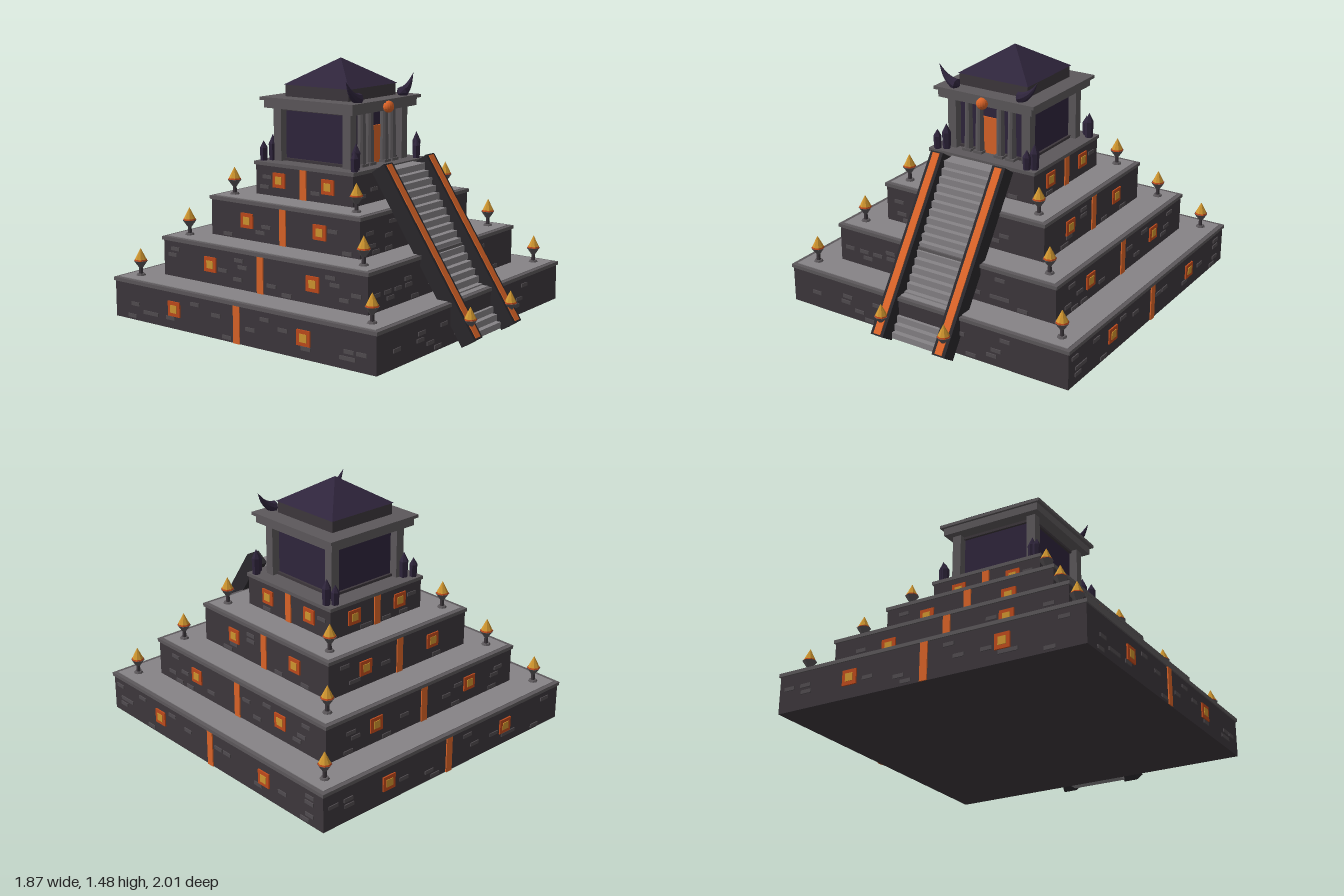
import * as THREE from 'three';

const mat = (name, color, flat = true) => {
  const m = new THREE.MeshStandardMaterial({ color, flatShading: flat });
  m.name = name;
  return m;
};

export function createModel() {
  const M = {
    wall: mat('dark stone', 0x3d373c),
    trim: mat('trim stone', 0x5c585b),
    brick: mat('brick stone', 0x514c50),
    paving: mat('pale paving', 0x868386),
    rail: mat('black stone', 0x2a282c),
    purple: mat('dark purple', 0x2f253c),
    orange: mat('glowing orange', 0xdb6428),
    ember: mat('ember red', 0xc04a1c),
    gold: mat('flame gold', 0xd0962f),
  };
  const model = new THREE.Group();
  model.name = 'steppedTemple';

  // Everything but the stairway is centred on this group
  const temple = new THREE.Group();
  temple.name = 'pyramid';
  temple.position.z = -0.07;
  model.add(temple);

  const add = (parent, name, geo, material, x = 0, y = 0, z = 0) => {
    const mesh = new THREE.Mesh(geo, material);
    mesh.name = name;
    mesh.position.set(x, y, z);
    parent.add(mesh);
    return mesh;
  };
  // Box given by its size, its centre in x and z, and its bottom in y
  const box = (parent, name, material, w, h, d, x = 0, y = 0, z = 0) =>
    add(parent, name, new THREE.BoxGeometry(w, h, d), material, x, y + h / 2, z);

  let seed = 11;
  const rand = () => (seed = (seed * 16807) % 2147483647) / 2147483647;

  // Standing fire bowl
  const torch = (parent, x, y, z) => {
    const g = new THREE.Group();
    g.name = 'torch';
    g.position.set(x, y, z);
    parent.add(g);
    add(g, 'torchFoot', new THREE.CylinderGeometry(0.022, 0.03, 0.014, 8), M.trim, 0, 0.007, 0);
    add(g, 'torchStem', new THREE.CylinderGeometry(0.01, 0.012, 0.06, 8), M.wall, 0, 0.04, 0);
    add(g, 'torchBowl', new THREE.CylinderGeometry(0.04, 0.012, 0.04, 8), M.trim, 0, 0.07, 0);
    add(g, 'torchEmbers', new THREE.CylinderGeometry(0.034, 0.037, 0.008, 8), M.ember, 0, 0.094, 0);
    add(g, 'torchFlame', new THREE.ConeGeometry(0.034, 0.068, 8), M.gold, 0, 0.13, 0);
  };

  // Four tiers: half width, bottom, top, panel offset, torch offset, bricks per face
  const tiers = [
    [0.93, 0.02, 0.25, 0.46, 0.82, 16],
    [0.732, 0.25, 0.48, 0.365, 0.62, 15],
    [0.537, 0.48, 0.71, 0.26, 0.435, 11],
    [0.355, 0.71, 0.905, 0.175, 0, 6],
  ];
  tiers.forEach(([half, y0, y1, panel, fire, bricks], level) => {
    const tier = new THREE.Group();
    tier.name = 'tier' + (level + 1);
    temple.add(tier);
    const inner = half - 0.008, h = y1 - y0;
    box(tier, 'tierWall', M.wall, inner * 2, h - 0.02, inner * 2, 0, y0, 0);
    box(tier, 'tierTrim', M.trim, half * 2, 0.02, half * 2, 0, y1 - 0.02, 0);
    if (level < 3) {
      box(tier, 'tierPaving', M.paving, (half - 0.025) * 2, 0.004, (half - 0.025) * 2, 0, y1, 0);
      for (const sx of [-1, 1]) for (const sz of [-1, 1]) torch(tier, sx * fire, y1, sz * fire);
    }
    // Faces: 0 front, 1 right, 2 back, 3 left
    for (let f = 0; f < 4; f++) {
      const face = new THREE.Group();
      face.name = 'tierFace';
      face.rotation.y = f * Math.PI / 2;
      tier.add(face);
      if (f > 0) {
        box(face, 'glowStrip', M.orange, 0.044, h - 0.02, 0.008, 0, y0, inner + 0.003);
        for (const s of [-1, 1]) {
          const yc = y0 + h * 0.5;
          box(face, 'glowPanel', M.ember, 0.088, 0.085, 0.009, s * panel, yc - 0.0425, inner + 0.004);
          box(face, 'panelCore', M.gold, 0.046, 0.044, 0.006, s * panel, yc - 0.022, inner + 0.009);
        }
      }
      const rows = 5, rowStep = (h - 0.05) / rows;
      for (let i = 0; i < bricks; i++) {
        const side = i % 2 ? 1 : -1;
        const x = side * (0.07 + rand() * (half - 0.14));
        const y = y0 + 0.012 + Math.floor(rand() * rows) * rowStep;
        const hitsPanel = f > 0 && Math.abs(Math.abs(x) - panel) < 0.08 && Math.abs(y + 0.011 - y0 - h / 2) < 0.055;
        if (!hitsPanel) box(face, 'brick', M.brick, 0.064, 0.021, 0.007, x, y, inner + 0.002);
      }
    }
  });

  // Shrine on the top tier
  const shrine = new THREE.Group();
  shrine.name = 'shrine';
  temple.add(shrine);
  box(shrine, 'shrineWall', M.purple, 0.45, 0.31, 0.45, 0, 0.9, 0);
  box(shrine, 'shrineSill', M.wall, 0.48, 0.015, 0.48, 0, 0.905, 0);
  box(shrine, 'shrineLintel', M.wall, 0.48, 0.015, 0.48, 0, 1.195, 0);
  for (const sx of [-1, 1]) {
    for (const sz of [-1, 1])
      box(shrine, 'cornerPillar', M.trim, 0.054, 0.31, 0.054, sx * 0.247, 0.9, sz * 0.247);
    for (const x of [0.07, 0.145]) {
      add(shrine, 'frontColumn', new THREE.CylinderGeometry(0.022, 0.026, 0.3, 10), M.trim, sx * x, 1.055, 0.255);
      box(shrine, 'columnBase', M.trim, 0.058, 0.015, 0.058, sx * x, 0.905, 0.255);
    }
  }
  box(shrine, 'glowingDoor', M.orange, 0.15, 0.215, 0.008, 0, 0.905, 0.238);
  box(shrine, 'cornice', M.trim, 0.62, 0.045, 0.63, 0, 1.21, 0);
  box(shrine, 'corniceCap', M.trim, 0.66, 0.018, 0.66, 0, 1.255, 0);
  box(shrine, 'roofBase', M.wall, 0.45, 0.07, 0.45, 0, 1.27, 0);
  const roof = add(shrine, 'roof', new THREE.ConeGeometry(0.232 * Math.SQRT2, 0.15, 4), M.purple, 0, 1.415, 0);
  roof.rotation.y = Math.PI / 4;
  const orb = add(shrine, 'orb', new THREE.SphereGeometry(0.034, 14, 10), M.orange, 0, 1.232, 0.335);
  orb.scale.z = 0.9;

  // Curved horns: a tube tapered along its path
  for (const s of [-1, 1]) {
    const path = new THREE.CatmullRomCurve3([
      [0.185, 1.285], [0.235, 1.298], [0.285, 1.335], [0.325, 1.395],
    ].map(([x, y]) => new THREE.Vector3(s * x, y, 0.28)));
    const segments = 8, sides = 8;
    const geo = new THREE.TubeGeometry(path, segments, 0.036, sides);
    const p = geo.attributes.position, v = new THREE.Vector3();
    for (let i = 0; i < p.count; i++) {
      const t = Math.floor(i / (sides + 1)) / segments;
      const c = path.getPointAt(t);
      v.fromBufferAttribute(p, i).sub(c).multiplyScalar(t === 0 ? 0 : 1.1 * (1 - t)).add(c);
      p.setXYZ(i, v.x, v.y, v.z);
    }
    geo.computeVertexNormals();
    add(shrine, 'horn', geo, M.purple);
  }

  // Crystal clusters at the corners of the top tier
  const crystal = (x, z, h, r) => {
    const profile = [[0, 0], [r * 0.85, 0], [r, h * 0.65], [0, h]].map(([a, b]) => new THREE.Vector2(a, b));
    add(temple, 'crystal', new THREE.LatheGeometry(profile, 6), M.purple, x, 0.9, z);
  };
  for (const sx of [-1, 1]) for (const sz of [-1, 1]) {
    crystal(sx * 0.295 + 0.03, sz * 0.297 + 0.008, 0.155, 0.026);
    crystal(sx * 0.3 - 0.01, sz * 0.325 + 0.005, 0.12, 0.024);
  }

  // Stairway
  const stairs = new THREE.Group();
  stairs.name = 'stairway';
  model.add(stairs);
  const steps = 22;
  for (let i = 0; i < steps; i++) {
    const t = i / (steps - 1);
    box(stairs, 'step', M.paving, 0.34, 0.036, 0.09, 0, 0.025 + t * 0.845, 0.875 - t * 0.515);
  }

  // Sloping rails with glowing inlays and a torch at each foot
  const slope = Math.atan2(0.887, 0.594);
  for (const s of [-1, 1]) {
    const rail = new THREE.Group();
    rail.name = 'stairRail';
    rail.position.set(s * 0.206, 0.484, 0.667);
    rail.rotation.x = slope;
    stairs.add(rail);
    add(rail, 'railBeam', new THREE.BoxGeometry(0.083, 0.094, 1.067), M.rail);
    add(rail, 'railInlay', new THREE.BoxGeometry(0.045, 0.008, 1.05), M.orange, 0, 0.048, 0);
    torch(stairs, s * 0.21, 0.075, 0.952);
  }
  return model;
}
